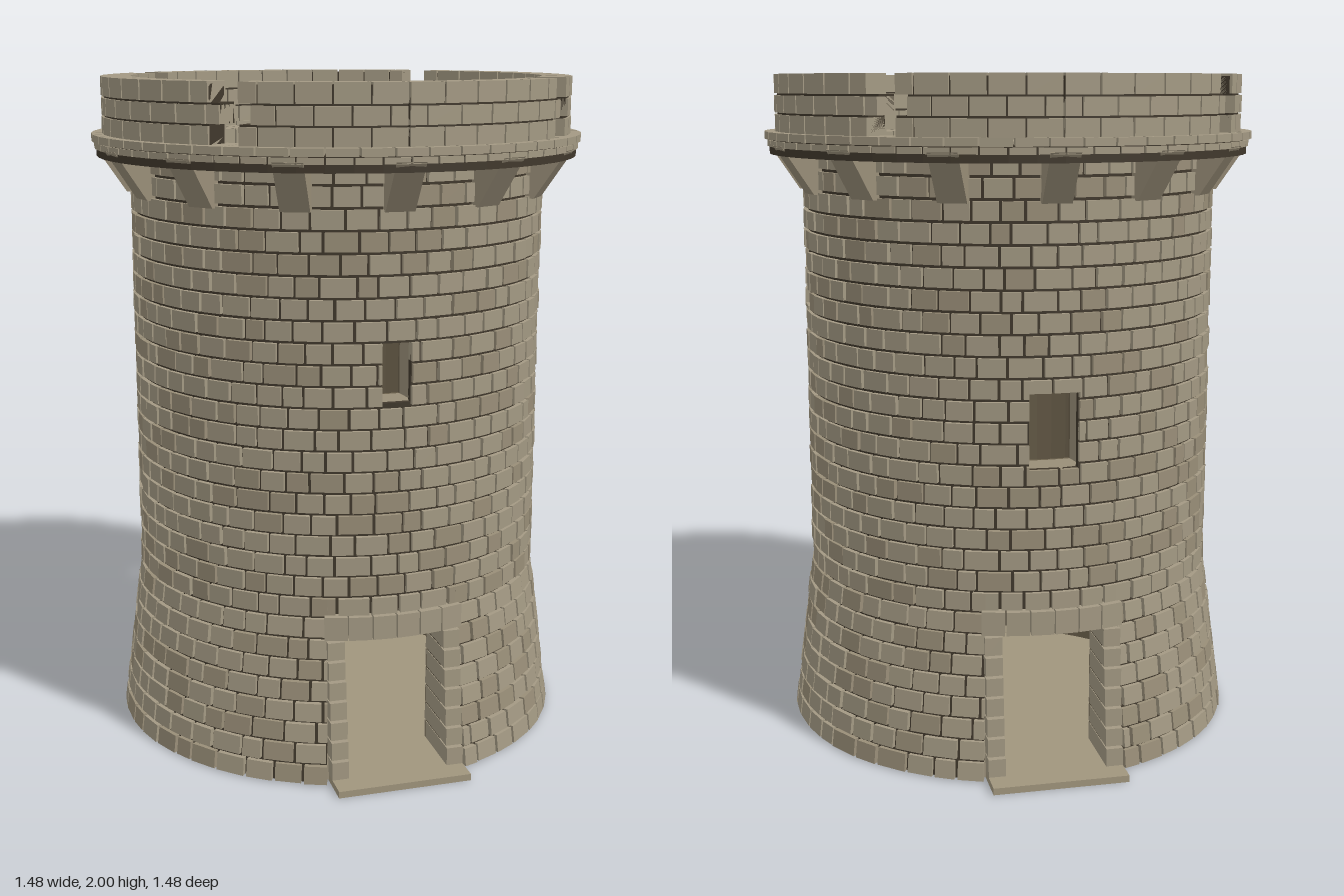
import * as THREE from 'three';
import { mergeGeometries } from 'three/addons/utils/BufferGeometryUtils.js';

const TAU = Math.PI * 2;
const mat = (name, color, side = THREE.FrontSide) => {
  const m = new THREE.MeshStandardMaterial({ color, side });
  m.name = name;
  return m;
};

// Outer radius of the tower: flared foot, straight shaft
const R = (y) => (y < 0.5 ? 0.695 - 0.13 * y : 0.63);

// Block bent round the tower axis; radii are functions of height (angle 0 faces +z)
function wedge(a0, a1, y0, y1, rIn, rOut) {
  const g = new THREE.BoxGeometry(1, 1, 1);
  const p = g.attributes.position;
  for (let i = 0; i < p.count; i++) {
    const a = p.getX(i) < 0 ? a0 : a1;
    const y = p.getY(i) < 0 ? y0 : y1;
    const r = p.getZ(i) < 0 ? rIn(y) : rOut(y);
    p.setXYZ(i, Math.sin(a) * r, y, Math.cos(a) * r);
  }
  g.computeVertexNormals();
  return g;
}

// Rectangle [a0, a1, y0, y1] minus openings [centre, half angle, y0, y1]
function cut(rect, holes) {
  let parts = [rect];
  for (const [c, half, h0, h1] of holes) {
    parts = parts.flatMap(([a0, a1, y0, y1]) => {
      const mid = (a0 + a1) / 2;
      const cc = c + TAU * Math.round((mid - c) / TAU);
      const l = cc - half, r = cc + half;
      if (r <= a0 || l >= a1 || h1 <= y0 || h0 >= y1) return [[a0, a1, y0, y1]];
      const il = Math.max(a0, l), ir = Math.min(a1, r);
      return [[a0, il, y0, y1], [ir, a1, y0, y1], [il, ir, y0, h0], [il, ir, h1, y1]]
        .filter((q) => q[1] - q[0] > 0.006 && q[3] - q[2] > 0.006);
    });
  }
  return parts;
}

function box(x0, x1, y0, y1, z0, z1) {
  const g = new THREE.BoxGeometry(x1 - x0, y1 - y0, z1 - z0);
  return g.translate((x0 + x1) / 2, (y0 + y1) / 2, (z0 + z1) / 2);
}

export function createModel() {
  const tower = new THREE.Group();
  tower.name = 'stoneTower';
  const stone = mat('stone', 0xa39983);
  const stoneDark = mat('darkerStone', 0x998e78);
  const mortar = mat('mortar', 0x40382c);
  const lining = mat('innerWall', 0x6c614c);
  const floorMat = mat('floorStone', 0xa0957d);
  const add = (name, geos, material) => {
    const m = new THREE.Mesh(Array.isArray(geos) ? mergeGeometries(geos) : geos, material);
    m.name = name;
    tower.add(m);
  };
  let seed = 7;
  const rand = () => (seed = (seed * 16807) % 2147483647) / 2147483647;
  const k = (v) => () => v;

  // Openings: centre angle, inner half width, outer half width, bottom, top
  const openings = [
    [0, 0.155, 0.2, -0.1, 0.5], [Math.PI, 0.155, 0.2, -0.1, 0.5],
    [0, 0.045, 0.045, 1.12, 1.29],
    [Math.PI / 2, 0.045, 0.045, 1.31, 1.47],
    [Math.PI, 0.075, 0.075, 0.91, 1.13],
  ];
  const innerHoles = openings.map(([c, w, , a, b]) => [c, w / 0.51, a, b]);
  const outerHoles = openings.map(([c, , w, a, b]) => [c, Math.asin(w / 0.65), a, b]);

  // Wall: lining, stone core and mortar skin in layers
  const layer = (holes, rIn, rOut) => {
    const out = [];
    for (const [y0, y1] of [[0.004, 0.5], [0.5, 1.79]])
      for (let i = 0; i < 60; i++)
        for (const q of cut([i * TAU / 60, (i + 1) * TAU / 60, y0, y1], holes))
          out.push(wedge(...q, rIn, rOut));
    return out;
  };
  add('innerWall', layer(innerHoles, k(0.5), k(0.51)), lining);
  add('wallCore', layer(innerHoles, k(0.51), (y) => R(y) - 0.03), stoneDark);
  add('wallMortar', layer(outerHoles, (y) => R(y) - 0.03, (y) => R(y) - 0.013), mortar);
  add('wallUnderside', new THREE.RingGeometry(0.5, 0.685, 60).rotateX(Math.PI / 2), mortar);

  // Courses of wall bricks, staggered with slight variation
  const bricks = [[], []];
  const rows = 29, h = 1.79 / rows, n = 48, step = TAU / n;
  for (let j = 0; j < rows; j++) {
    const shift = (j % 2) * 0.5 * step + (rand() - 0.5) * 0.3 * step;
    const edges = Array.from({ length: n }, (_, i) => shift + (i + (rand() - 0.5) * 0.35) * step);
    edges.push(edges[0] + TAU);
    for (let i = 0; i < n; i++) {
      const rect = [edges[i] + 0.007, edges[i + 1] - 0.007, j * h + 0.003, (j + 1) * h - 0.006];
      const jut = (rand() - 0.5) * 0.005;
      const set = bricks[rand() < 0.3 ? 1 : 0];
      for (const q of cut(rect, outerHoles))
        set.push(wedge(...q, (y) => R(y) - 0.03, (y) => R(y) + jut));
    }
  }
  add('wallBricks', bricks[0], stone);
  add('darkerWallBricks', bricks[1], stoneDark);

  // Doorways front and back: jamb blocks, lintel blocks, sill slab
  const frame = [], sills = [], joints = [];
  for (const turn of [0, Math.PI]) {
    for (const s of [-1, 1]) {
      const x0 = s > 0 ? 0.15 : -0.2;
      joints.push(box(x0 + 0.002, x0 + 0.048, 0.01, 0.43, 0.48, 0.6).rotateY(turn));
      for (let j = 0; j < 7; j++) {
        const y = 0.02 + j * 0.0585;
        const z = Math.sqrt(R(y + 0.03) ** 2 - 0.0225);
        frame.push(box(x0, x0 + 0.05, y, y + 0.0535, 0.47, z).rotateY(turn));
      }
    }
    for (let i = 0; i < 6; i++) {
      const a = turn - 0.33 + i * 0.11;
      frame.push(wedge(a + 0.003, a + 0.107, 0.43, 0.5, k(0.5), k(0.648)));
    }
    joints.push(wedge(turn - 0.31, turn + 0.31, 0.435, 0.495, k(0.52), k(0.59)));
    sills.push(box(-0.2, 0.2, 0, 0.02, 0.46, 0.742).rotateY(turn));
  }
  add('doorFrames', frame, stone);
  add('doorFrameJoints', joints, mortar);
  add('doorSills', sills, floorMat);
  add('floor', new THREE.CylinderGeometry(0.505, 0.505, 0.014, 60).translate(0, 0.011, 0), floorMat);

  // Sloping corbels under the overhang
  const profile = new THREE.Shape([[0.59, 1.655], [0.64, 1.655], [0.735, 1.795], [0.59, 1.795]]
    .map(([x, y]) => new THREE.Vector2(x, y)));
  const corbels = [];
  for (let i = 0; i < 14; i++) {
    const g = new THREE.ExtrudeGeometry(profile, { depth: 0.085, bevelEnabled: false });
    corbels.push(g.translate(0, 0, -0.0425).rotateY(-Math.PI / 2 + i * TAU / 14));
  }
  add('corbels', corbels, stoneDark);

  // Rings of blocks: overhang ledge, walkway and parapet
  const ring = (count, offset, y0, y1, r0, r1, gap, holes = []) => {
    const out = [];
    for (let i = 0; i < count; i++) {
      const a = (i + offset) * TAU / count;
      for (const q of cut([a + gap, a + TAU / count - gap, y0, y1], holes))
        out.push(wedge(...q, k(r0), k(r1)));
    }
    return out;
  };
  add('ledge', [...ring(60, 0, 1.79, 1.808, 0.6, 0.734, 0.004),
    ...ring(50, 0.5, 1.811, 1.833, 0.61, 0.742, 0.004)], stone);
  add('walkway', ring(60, 0, 1.76, 1.82, 0.46, 0.615, 0.006), stone);
  add('walkwayMortar', ring(60, 0, 1.767, 1.812, 0.468, 0.728, 0), mortar);

  // Parapet with narrow notches near the diagonals and slits on the axes
  const parapet = [], core = [];
  for (let c = 0; c < 3; c++) {
    const y = 1.833 + c * 0.0557;
    const holes = [];
    for (let i = 0; i < 4; i++) {
      holes.push([i * TAU / 4 + 0.86 + (c % 2) * 0.05, 0.065, 0, 3], [i * TAU / 4, 0.005, 0, 3]);
    }
    parapet.push(...ring(44, (c % 2) * 0.5, y, y + (c < 2 ? 0.05 : 0.0556), 0.62, 0.71, 0.004, holes));
    core.push(...ring(44, 0, y, y + 0.0557 - (c < 2 ? 0 : 0.007), 0.628, 0.702, 0, holes));
  }
  add('parapet', parapet, stone);
  add('parapetMortar', core, mortar);
  return tower;
}
